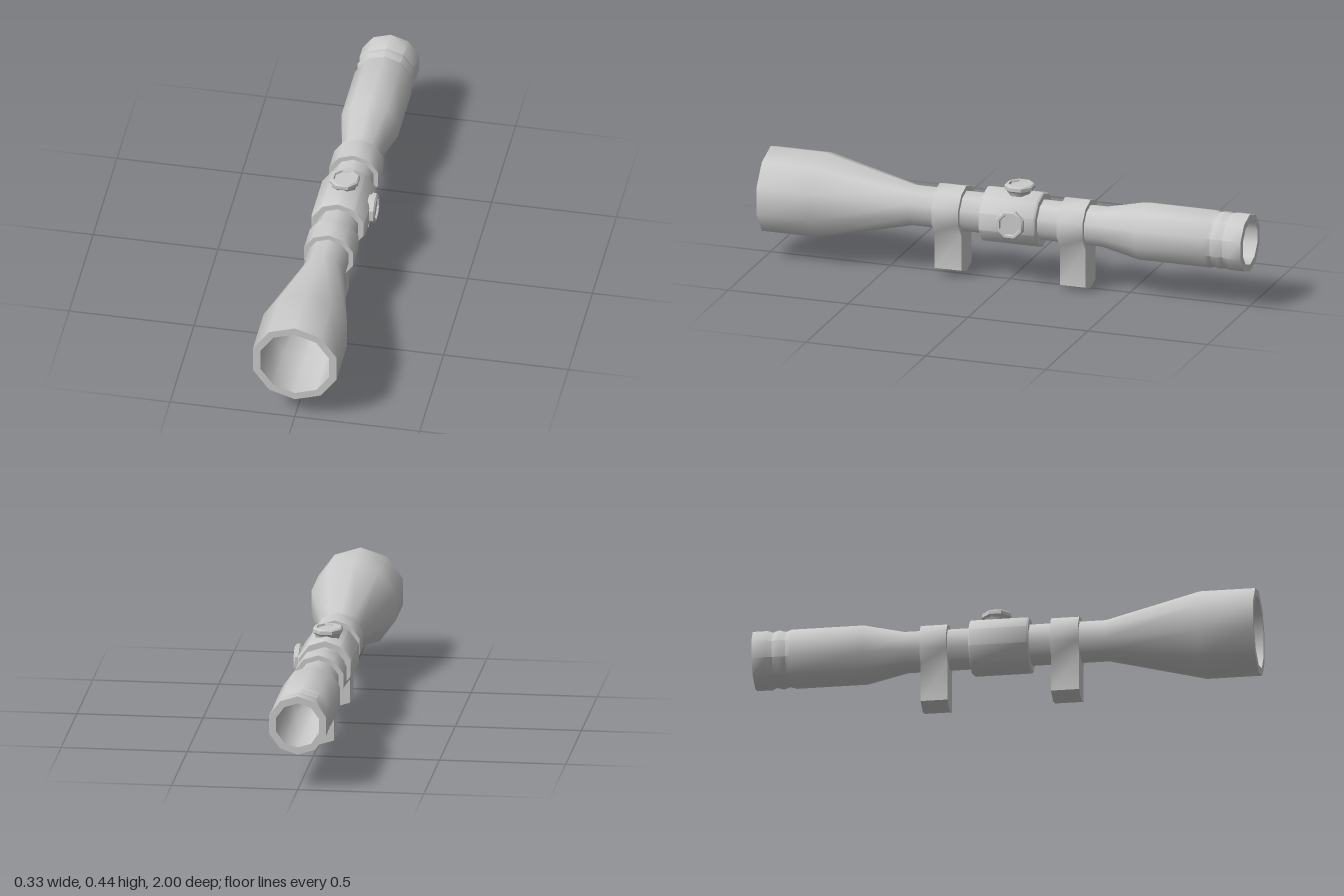
import * as THREE from 'three';
import { toCreasedNormals } from 'three/addons/utils/BufferGeometryUtils.js';

const AXIS_Y = 0.262; // height of the optical axis
const CREASE = 0.7;   // smooths the ten-sided walls, keeps rims sharp

export function createModel() {
  const group = new THREE.Group();
  const material = new THREE.MeshStandardMaterial({ color: 0xcccccc });

  const add = (name, geometry) => {
    const mesh = new THREE.Mesh(toCreasedNormals(geometry, CREASE), material);
    mesh.name = name;
    group.add(mesh);
    return mesh;
  };
  const lathe = (points, sides, phase = 0) =>
    new THREE.LatheGeometry(points.map(([r, h]) => new THREE.Vector2(r, h)), sides, phase);
  // Ten-sided turned part along z, given as [radius, z]
  const turned = (name, points) =>
    add(name, lathe(points, 10).rotateX(Math.PI / 2).translate(0, AXIS_Y, 0));

  // Hollow main tube: outside from back to front, then the bore back again
  turned('mainTube', [
    [0.09, -1], [0.119, -1], [0.119, -0.94], [0.111, -0.92], [0.119, -0.895],
    [0.111, -0.868], [0.119, -0.845], [0.119, -0.56], [0.083, -0.4],
    [0.083, 0.4], [0.176, 0.78], [0.176, 1], [0.145, 1],
    [0.145, 0.78], [0.053, 0.4], [0.053, -0.4], [0.09, -0.56], [0.09, -1],
  ]);

  // Thicker collar carrying the adjustment knobs
  turned('turretCollar', [
    [0.08, -0.14], [0.107, -0.14], [0.113, -0.133],
    [0.113, 0.09], [0.107, 0.097], [0.08, 0.097],
  ]);

  // Adjustment knobs: octagonal, tapered below, with a recessed cap
  const knob = () => lathe([
    [0.046, -0.04], [0.052, 0], [0.061, 0.008], [0.061, 0.022], [0.055, 0.028],
    [0.045, 0.028], [0.042, 0.02], [0, 0.02],
  ], 8, Math.PI / 8);
  add('topKnob', knob()).position.set(0, 0.374, -0.04);
  const sideKnob = add('sideKnob', knob());
  sideKnob.rotation.z = -Math.PI / 2;
  sideKnob.position.set(0.102, 0.266, -0.04);

  // Mounting rings: a decagon whose two lowest sides are pulled down to a foot
  const mount = (name, z0, z1, footY) => {
    const r = 0.103;
    const corners = (radius) => Array.from({ length: 10 }, (_, i) => {
      const a = i * Math.PI / 5;
      return new THREE.Vector2(radius * Math.sin(a), AXIS_Y + radius * Math.cos(a));
    });
    const outline = corners(r);
    const drop = outline[5].y - footY;
    const foot = [4, 5, 6].map((i) => new THREE.Vector2(outline[i].x, outline[i].y - drop));
    const shape = new THREE.Shape([...outline.slice(0, 5), ...foot, ...outline.slice(6)]);
    shape.holes.push(new THREE.Path(corners(0.082)));
    const geometry = new THREE.ExtrudeGeometry(shape, { depth: z1 - z0, bevelEnabled: false });
    add(name, geometry.translate(0, 0, z0));
  };
  mount('frontMount', 0.183, 0.295, 0.012);
  mount('rearMount', -0.335, -0.228, 0);

  return group;
}
